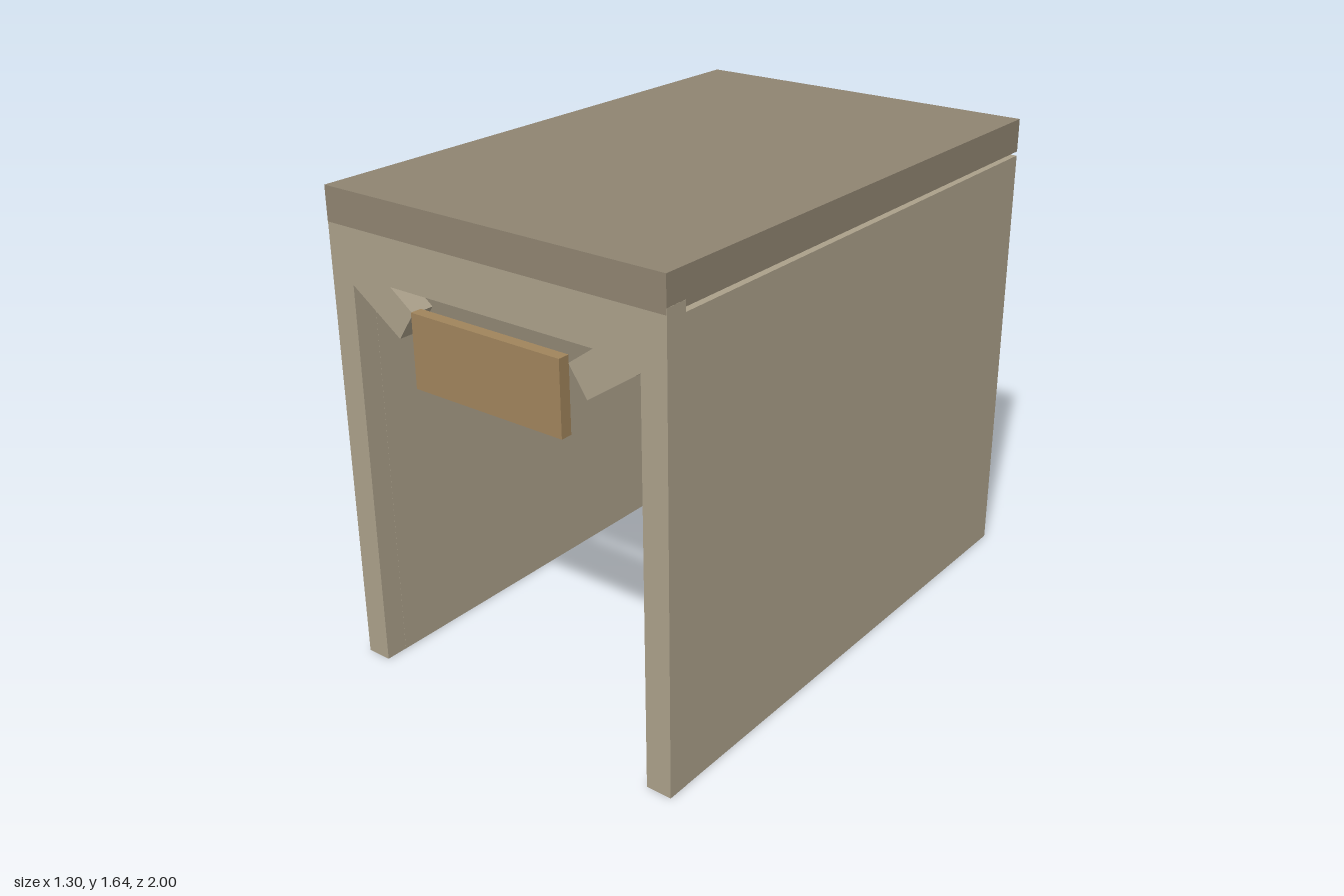
import * as THREE from 'three';

const wallMat = new THREE.MeshStandardMaterial({ color: 0xaba08a });
const roofMat = new THREE.MeshStandardMaterial({ color: 0x8f8471 });
const signMat = new THREE.MeshStandardMaterial({ color: 0xa0845c });

// Box given by its min and max corners
function box(name, mat, [x0, y0, z0], [x1, y1, z1]) {
  const mesh = new THREE.Mesh(new THREE.BoxGeometry(x1 - x0, y1 - y0, z1 - z0), mat);
  mesh.position.set((x0 + x1) / 2, (y0 + y1) / 2, (z0 + z1) / 2);
  mesh.name = name;
  return mesh;
}

export function createModel() {
  const group = new THREE.Group();
  group.name = 'openFrontStall';
  const W = 0.65, T = 0.09, BACK = -1, FRONT = 0.98, WALL_TOP = 1.515;

  // Flat roof, a narrow gap above the walls
  group.add(box('roof', roofMat, [-W, 1.53, BACK], [W, 1.645, FRONT]));

  // Side and back walls
  group.add(box('leftWall', wallMat, [W - T, 0, BACK], [W, WALL_TOP, 0.9]));
  group.add(box('rightWall', wallMat, [-W, 0, BACK], [-W + T, WALL_TOP, 0.9]));
  group.add(box('backWall', wallMat, [-W + T, 0, BACK], [W - T, WALL_TOP, BACK + 0.07]));

  // Front frame: posts, header and slanted brackets around the doorway
  const half = [[W, 1.55], [W, 0], [W - T, 0], [W - T, 1.345], [0.37, 1.215], [0.305, 1.31], [0.395, 1.375]];
  const outline = [...half, ...half.map(([x, y]) => [-x, y]).reverse()];
  const frameGeo = new THREE.ExtrudeGeometry(
    new THREE.Shape(outline.map(([x, y]) => new THREE.Vector2(x, y))),
    { depth: FRONT - 0.9, bevelEnabled: false }
  );
  const frame = new THREE.Mesh(frameGeo, wallMat);
  frame.name = 'frontFrame';
  // A hair inside the roof's front face, a hair outside its ends
  frame.scale.x = 1.001;
  frame.position.z = 0.899;
  group.add(frame);

  // Blank sign board in the doorway
  group.add(box('signBoard', signMat, [-0.29, 1.08, 0.96], [0.29, 1.325, 1]));

  return group;
}
